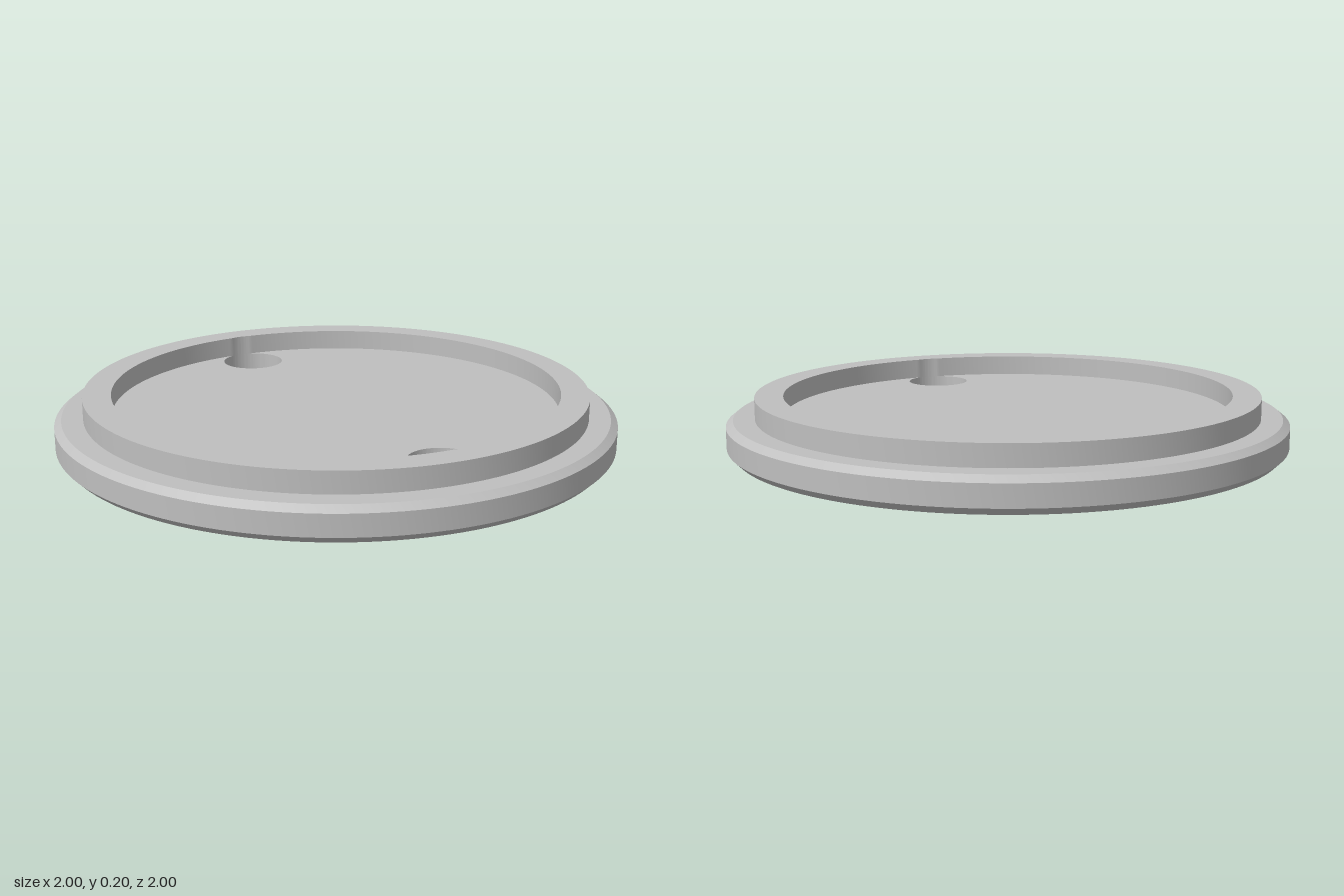
import * as THREE from 'three';
import { toCreasedNormals } from 'three/addons/utils/BufferGeometryUtils.js';

const SEG = 160;
const BASE_TOP = 0.12, TOP = 0.195;      // heights of the disc and of the rim
const CAP_R = 0.975;                     // flat faces inside the chamfers
const RIM_OUT = 0.9, RIM_IN = 0.8;
const HOLE_R = 0.117, HOLE_D = 0.688;    // hole radius and distance from the centre
const HOLE_ANGLES = [-Math.PI / 4, Math.PI * 3 / 4];

export function createModel() {
  const group = new THREE.Group();
  const grey = new THREE.MeshStandardMaterial({ color: 0xbfbfbf });
  grey.name = 'light grey';

  const add = (name, geometry) => {
    const mesh = new THREE.Mesh(geometry, grey);
    mesh.name = name;
    group.add(mesh);
    return mesh;
  };
  const lathe = (pts, seg) => toCreasedNormals(
    new THREE.LatheGeometry(pts.map(([r, y]) => new THREE.Vector2(r, y)), seg), 0.5);
  const holeCentre = (a) => [HOLE_D * Math.cos(a), HOLE_D * Math.sin(a)];

  // Chamfered outer edge of the disc
  add('discEdge', lathe([[CAP_R, 0], [1, 0.025], [1, 0.1], [CAP_R, BASE_TOP]], SEG));

  // Flat faces with the two through holes
  const face = new THREE.Shape().absarc(0, 0, CAP_R, 0, Math.PI * 2);
  for (const a of HOLE_ANGLES) {
    face.holes.push(new THREE.Path().absarc(...holeCentre(a), HOLE_R, 0, Math.PI * 2, true));
  }
  const floor = new THREE.ShapeGeometry(face, SEG).rotateX(-Math.PI / 2);
  add('discFloor', floor).position.y = BASE_TOP;
  // Mirrored across the hole diagonal so that it faces down
  const under = new THREE.ShapeGeometry(face, SEG).rotateX(Math.PI / 2).rotateY(Math.PI / 2);
  add('discUnderside', under);

  // Inward-facing hole walls
  for (const a of HOLE_ANGLES) {
    const [x, y] = holeCentre(a);
    add('holeWall', lathe([[HOLE_R, BASE_TOP], [HOLE_R, 0]], SEG)).position.set(x, 0, -y);
  }

  // Raised rim, its inner wall notched where the holes reach into it
  const cosA = (HOLE_D ** 2 + RIM_IN ** 2 - HOLE_R ** 2) / (2 * HOLE_D * RIM_IN);
  const half = Math.acos(cosA);
  const notch = Math.atan2(RIM_IN * Math.sin(half), RIM_IN * cosA - HOLE_D);
  const ring = new THREE.Shape().absarc(0, 0, RIM_OUT, 0, Math.PI * 2);
  const inner = new THREE.Path();
  for (const a of HOLE_ANGLES) {
    inner.absarc(...holeCentre(a), HOLE_R, a - notch, a + notch);
    inner.absarc(0, 0, RIM_IN, a + half, a + Math.PI - half);
  }
  ring.holes.push(inner);
  const rim = new THREE.ExtrudeGeometry(ring, {
    depth: TOP - BASE_TOP, bevelEnabled: false, curveSegments: SEG / 2,
  }).rotateX(-Math.PI / 2);
  add('rim', toCreasedNormals(rim, 0.3)).position.y = BASE_TOP;

  return group;
}
